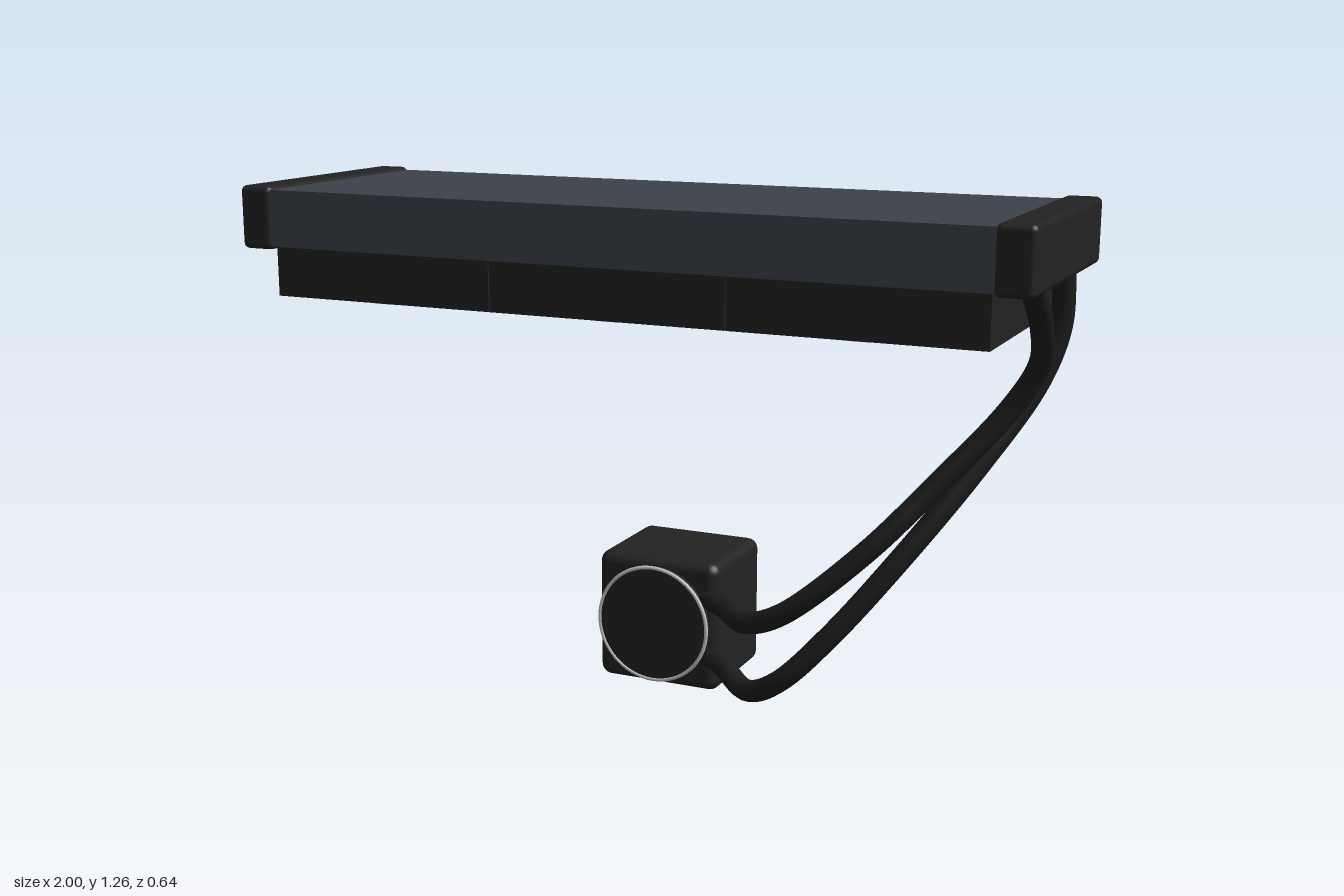
import * as THREE from 'three';
import { RoundedBoxGeometry } from 'three/addons/geometries/RoundedBoxGeometry.js';

const mat = (name, color, side = THREE.FrontSide) => {
  const m = new THREE.MeshStandardMaterial({ color, side });
  m.name = name;
  return m;
};

export function createModel() {
  const black = mat('black plastic', 0x222222);
  const rubber = mat('black rubber', 0x1c1c1c, THREE.DoubleSide);
  const bladeMat = mat('dark blade', 0x1e1e1e, THREE.DoubleSide);
  const slate = mat('slate fins', 0x3c424a);
  const silver = mat('silver trim', 0xc4c4c4);
  const grey = mat('hub grey', 0x9a9a9a);
  const copper = mat('copper', 0xb87350);

  const model = new THREE.Group();
  model.name = 'liquidCooler';
  const add = (parent, name, geo, material, x = 0, y = 0, z = 0) => {
    const mesh = new THREE.Mesh(geo, material);
    mesh.name = name;
    mesh.position.set(x, y, z);
    parent.add(mesh);
    return mesh;
  };

  // Radiator core with an end tank on each side
  add(model, 'radiatorCore', new THREE.BoxGeometry(1.83, 0.14, 0.624), slate, 0, 1.18, 0);
  for (const s of [-1, 1]) {
    add(model, s > 0 ? 'leftTank' : 'rightTank',
      new RoundedBoxGeometry(0.09, 0.157, 0.636, 3, 0.015), black, s * 0.955, 1.18, 0);
  }

  // Fan frame: square plate with a round opening, extruded downwards
  const frame = new THREE.Shape();
  const h = 0.301;
  frame.moveTo(-h, -h);
  frame.lineTo(h, -h);
  frame.lineTo(h, h);
  frame.lineTo(-h, h);
  frame.closePath();
  frame.holes.push(new THREE.Path().absarc(0, 0, 0.285, 0, Math.PI * 2, true));
  const frameGeo = new THREE.ExtrudeGeometry(frame, { depth: 0.122, bevelEnabled: false, curveSegments: 32 });
  frameGeo.rotateX(Math.PI / 2);

  // Swept, pitched blade lying in the x-z plane
  const bladeGeo = new THREE.PlaneGeometry(1, 1, 6, 3);
  const p = bladeGeo.attributes.position;
  for (let i = 0; i < p.count; i++) {
    const u = p.getX(i) + 0.5, v = p.getY(i);
    const r = 0.08 + 0.195 * u;
    const a = v * 0.5 + 0.4 * u * u;
    p.setXYZ(i, r * Math.cos(a), v * 0.06, r * Math.sin(a));
  }
  bladeGeo.computeVertexNormals();

  // Three fans under the radiator
  for (let i = -1; i <= 1; i++) {
    const fan = new THREE.Group();
    fan.name = 'fan' + (i + 2);
    fan.position.set(i * 0.605, 0, 0);
    model.add(fan);
    add(fan, 'fanFrame', frameGeo, black, 0, 1.108, 0);
    const ring = add(fan, 'fanRing', new THREE.TorusGeometry(0.289, 0.004, 6, 64), silver, 0, 0.987, 0);
    ring.rotation.x = Math.PI / 2;
    add(fan, 'fanHub', new THREE.CylinderGeometry(0.088, 0.088, 0.1, 32), black, 0, 1.05, 0);
    add(fan, 'hubCap', new THREE.CylinderGeometry(0.086, 0.086, 0.006, 32), grey, 0, 0.998, 0);
    for (let b = 0; b < 9; b++) {
      add(fan, 'fanBlade', bladeGeo, bladeMat, 0, 1.045, 0).rotation.y = (b * Math.PI * 2) / 9;
    }
  }

  // Pump block with a round cap in front and a copper cold plate behind
  const pump = new THREE.Group();
  pump.name = 'pump';
  pump.position.set(0, 0.168, 0);
  model.add(pump);
  add(pump, 'pumpBody', new RoundedBoxGeometry(0.33, 0.335, 0.293, 4, 0.028), black, 0, 0, -0.134);
  add(pump, 'pumpCap', new THREE.CylinderGeometry(0.146, 0.146, 0.034, 48), black, 0, 0.002, 0.022)
    .rotation.x = Math.PI / 2;
  add(pump, 'pumpRing', new THREE.TorusGeometry(0.148, 0.005, 8, 64), silver, 0, 0.002, 0.037);
  add(pump, 'coldPlate', new THREE.BoxGeometry(0.21, 0.21, 0.024), copper, 0, 0.002, -0.289);

  // Two flexible hoses from the pump to the left tank
  const hoses = {
    upperHose: [
      [0.13, 0.245, -0.005], [0.19, 0.238, 0.025], [0.28, 0.237, 0.11], [0.39, 0.285, 0.147],
      [0.58, 0.45, 0.11], [0.73, 0.62, 0.03], [0.87, 0.79, -0.035], [0.935, 0.9, -0.035],
      [0.953, 1.0, 0.04], [0.955, 1.1, 0.15],
    ],
    lowerHose: [
      [0.13, 0.098, -0.005], [0.19, 0.085, 0.03], [0.29, 0.064, 0.11], [0.385, 0.115, 0.146],
      [0.5, 0.235, 0.122], [0.65, 0.43, 0.05], [0.8, 0.65, -0.055], [0.91, 0.84, -0.14],
      [0.95, 0.97, -0.163], [0.955, 1.11, -0.15],
    ],
  };
  for (const [name, pts] of Object.entries(hoses)) {
    const curve = new THREE.CatmullRomCurve3(pts.map((q) => new THREE.Vector3(...q)));
    add(model, name, new THREE.TubeGeometry(curve, 80, 0.027, 14), rubber);
  }

  return model;
}
